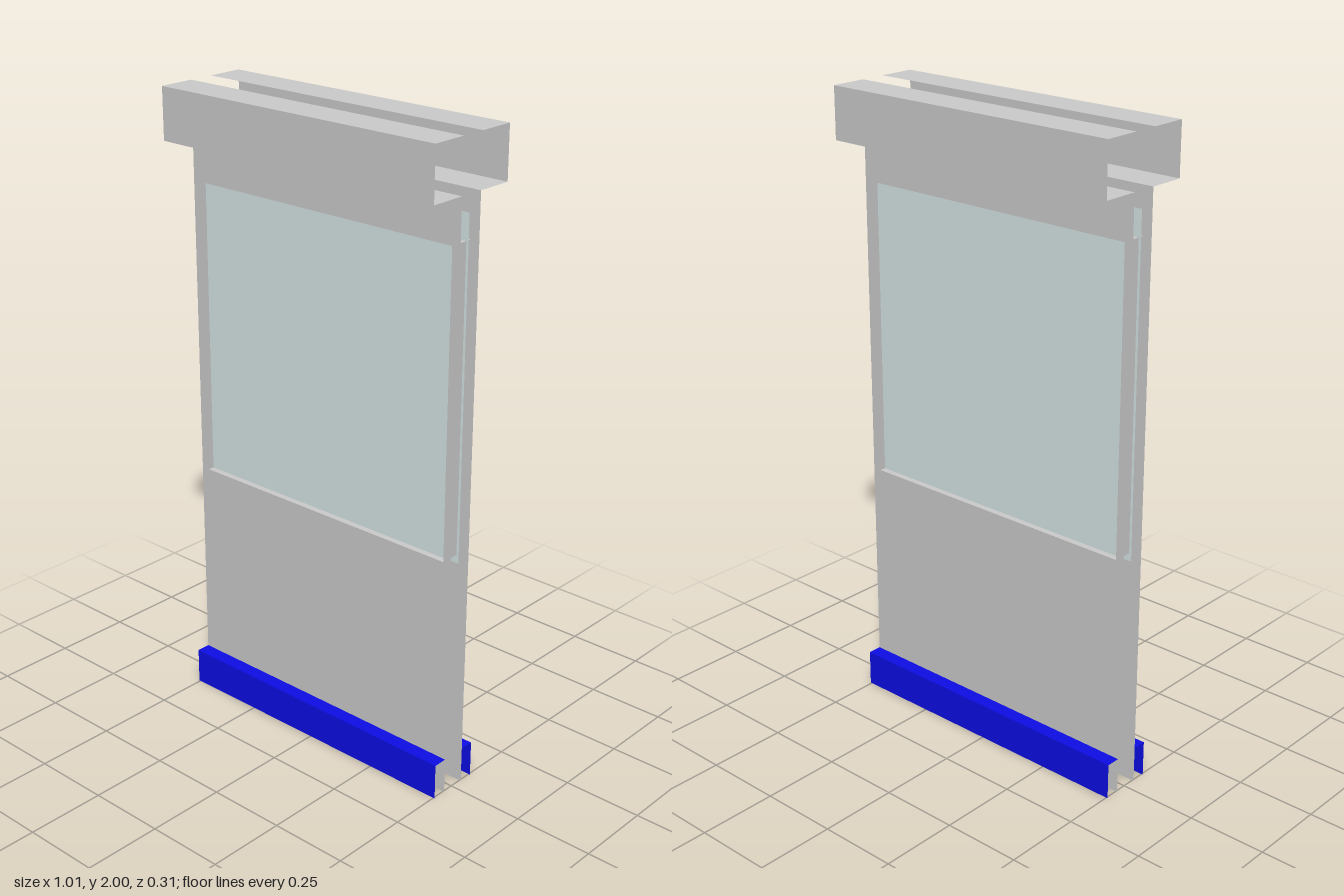
import * as THREE from 'three';

const W = 1.01;                                   // full panel width
const GAP = 0.04;                                 // half the spacing between the skins
const HOLE = { x: 0.477, y0: 0.765, y1: 1.70 };   // window opening

const mat = (color) => new THREE.MeshStandardMaterial({ color, side: THREE.DoubleSide, flatShading: true });
const grey = mat(0xcccccc);
const blue = mat(0x0d0de6);
const glass = mat(0xd6e6e5);

function add(parent, name, geometry, material) {
  const mesh = new THREE.Mesh(geometry, material);
  mesh.name = name;
  parent.add(mesh);
  return mesh;
}

// Thin folded sheet: a [z, y] profile swept across the panel width
function foldedSheet(profile, width = W) {
  const pos = [];
  for (let i = 0; i + 1 < profile.length; i++) {
    const [z0, y0] = profile[i], [z1, y1] = profile[i + 1];
    const a = [-width / 2, y0, z0], b = [width / 2, y0, z0];
    const c = [width / 2, y1, z1], d = [-width / 2, y1, z1];
    pos.push(...a, ...b, ...c, ...a, ...c, ...d);
  }
  const g = new THREE.BufferGeometry();
  g.setAttribute('position', new THREE.Float32BufferAttribute(pos, 3));
  g.computeVertexNormals();
  return g;
}

function rectangle(Type, x, y0, y1) {
  const r = new Type();
  r.moveTo(-x, y0).lineTo(x, y0).lineTo(x, y1).lineTo(-x, y1).closePath();
  return r;
}

// One face of the panel: skin, top channel, kick rail and window pane
function createSide(name) {
  const side = new THREE.Group();
  side.name = name;

  const skin = rectangle(THREE.Shape, W / 2, 0, 1.84);
  skin.holes.push(rectangle(THREE.Path, HOLE.x, HOLE.y0, HOLE.y1));
  add(side, 'skin', new THREE.ShapeGeometry(skin), grey).position.z = GAP;

  add(side, 'topChannel', foldedSheet([[GAP, 1.84], [0.155, 1.84], [0.155, 2], [GAP, 2]]), grey);
  add(side, 'kickRail', foldedSheet([[GAP, 0.115], [0.085, 0.115], [0.085, 0]]), blue);

  // The pane overlaps the opening a little behind the skin
  const pane = new THREE.ShapeGeometry(rectangle(THREE.Shape, 0.485, 0.74, 1.78));
  add(side, 'windowPane', pane, glass).position.z = 0.02;
  return side;
}

export function createModel() {
  const model = new THREE.Group();
  model.name = 'doorPanel';

  const front = createSide('frontSide');
  const back = createSide('backSide');
  back.rotation.y = Math.PI;
  model.add(front, back);

  // Window lining joining the two skins
  const lining = new THREE.Group();
  lining.name = 'windowLining';
  const height = HOLE.y1 - HOLE.y0;
  for (const s of [-1, 1]) {
    const jamb = add(lining, 'jamb', new THREE.PlaneGeometry(2 * GAP, height), grey);
    jamb.rotation.y = s * Math.PI / 2;
    jamb.position.set(s * HOLE.x, (HOLE.y0 + HOLE.y1) / 2, 0);
  }
  for (const y of [HOLE.y0, HOLE.y1]) {
    add(lining, 'sill', foldedSheet([[-GAP, y], [GAP, y]], 2 * HOLE.x), grey);
  }
  model.add(lining);
  return model;
}
